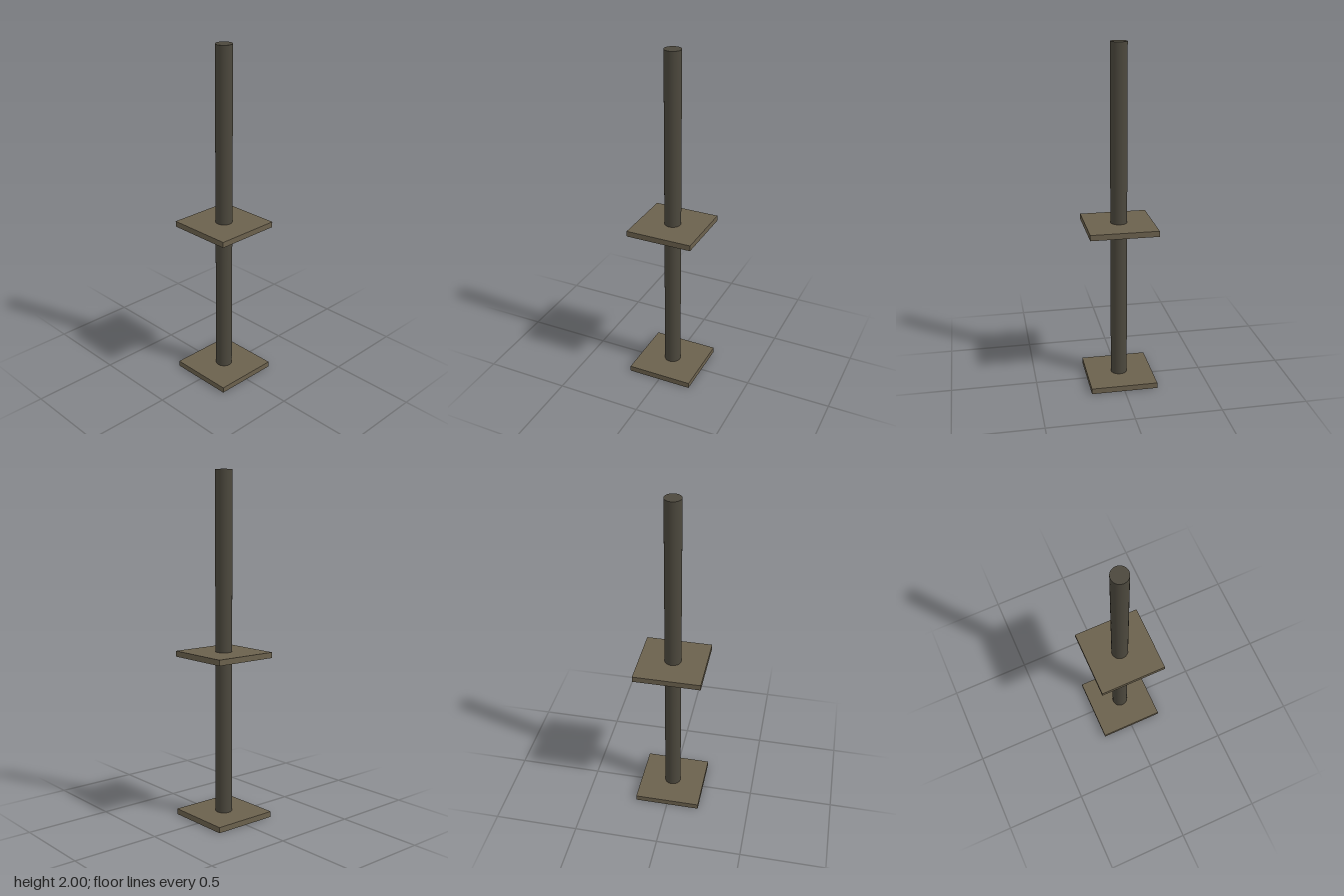
import * as THREE from 'three';

export function createModel() {
  const group = new THREE.Group();
  const plateMat = new THREE.MeshStandardMaterial({ color: 0x6b614d });
  plateMat.name = 'weathered brown';
  const poleMat = new THREE.MeshStandardMaterial({ color: 0x4c483d });
  poleMat.name = 'dark grey brown';

  const add = (name, geometry, material, y) => {
    const mesh = new THREE.Mesh(geometry, material);
    mesh.name = name;
    mesh.position.y = y;
    group.add(mesh);
  };

  // Square plates: one on the ground, one halfway up
  const plateSize = 0.39, plateHeight = 0.033;
  const plate = new THREE.BoxGeometry(plateSize, plateHeight, plateSize);
  add('basePlate', plate, plateMat, plateHeight / 2);
  add('middlePlate', plate, plateMat, 0.948 + plateHeight / 2);

  // Round pole running through both plates
  const bottom = 0.01, top = 2;
  const pole = new THREE.CylinderGeometry(0.048, 0.048, top - bottom, 48);
  add('pole', pole, poleMat, (top + bottom) / 2);

  return group;
}
